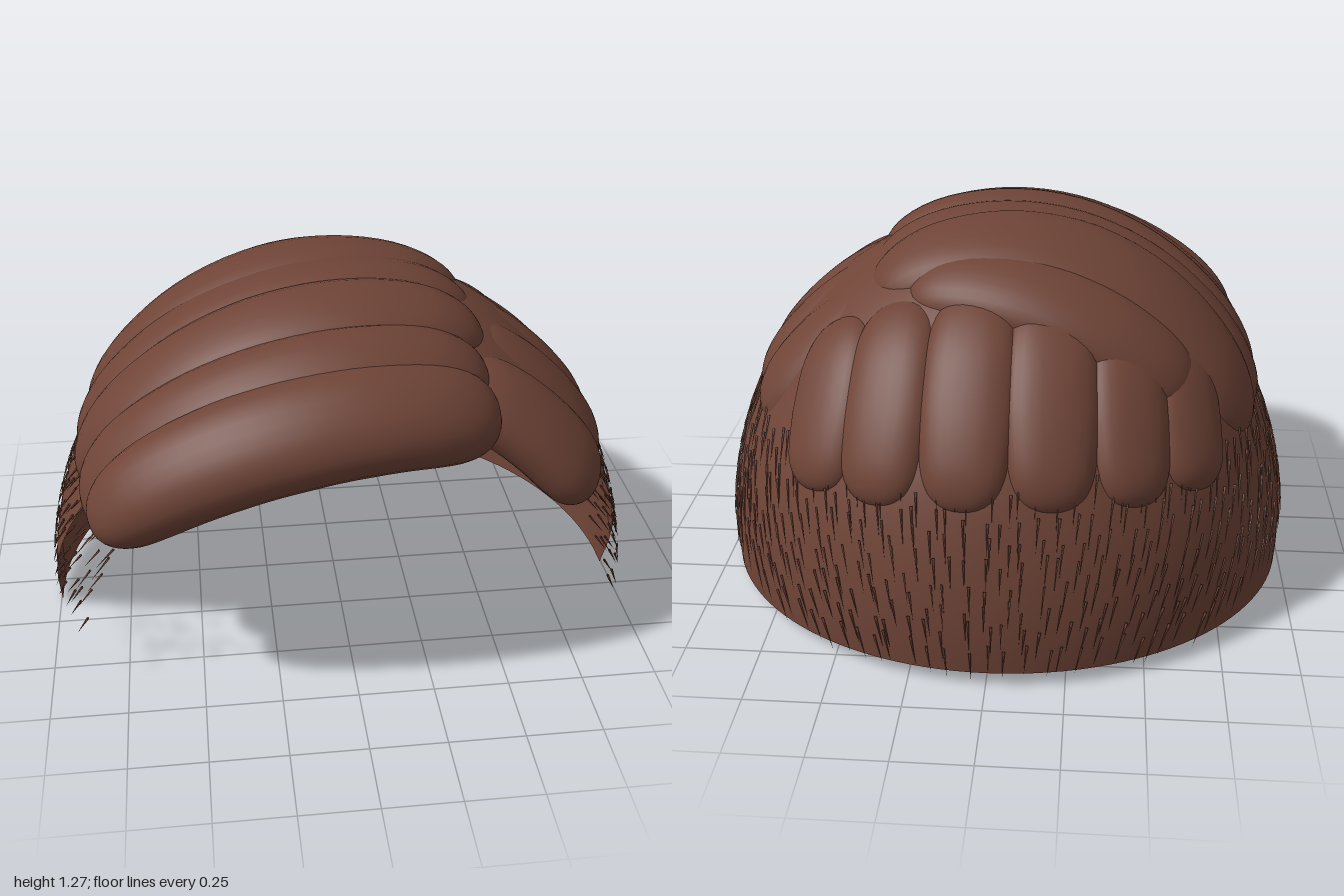
import * as THREE from 'three';
import { mergeGeometries } from 'three/addons/utils/BufferGeometryUtils.js';

// Head ellipsoid that every part follows
const CY = 0.1, CZ = 0.1, RX = 1, RY = 1.13, RZ = 0.98;
const rad = THREE.MathUtils.degToRad, lerp = THREE.MathUtils.lerp;
const normalAt = (p) =>
  new THREE.Vector3(p.x / RX ** 2, (p.y - CY) / RY ** 2, (p.z - CZ) / RZ ** 2).normalize();

// Point on the head from a sideways tilt (degrees from straight up) and a depth
function crownPoint(tilt, z, lift) {
  const k = Math.sqrt(Math.max(0.01, 1 - ((z - CZ) / RZ) ** 2));
  const p = new THREE.Vector3(k * Math.sin(rad(tilt)), CY + RY * k * Math.cos(rad(tilt)), z);
  return p.addScaledVector(normalAt(p), lift);
}

// Point on the back of the head from width and height
function backPoint(x, y, lift) {
  const k = Math.sqrt(Math.max(0.01, 1 - x * x - ((y - CY) / RY) ** 2));
  const p = new THREE.Vector3(x, y, CZ - RZ * k);
  return p.addScaledVector(normalAt(p), lift);
}

function gridGeometry(rows, cols, wrap, pointAt) {
  const pos = [], idx = [], n = wrap ? cols : cols + 1;
  for (let i = 0; i <= rows; i++)
    for (let j = 0; j < n; j++) pos.push(...pointAt(i / rows, j / cols).toArray());
  for (let i = 0; i < rows; i++)
    for (let j = 0; j < cols; j++) {
      const a = i * n + j, b = i * n + ((j + 1) % n);
      idx.push(a, b, a + n, b, b + n, a + n);
    }
  const g = new THREE.BufferGeometry();
  g.setAttribute('position', new THREE.Float32BufferAttribute(pos, 3));
  g.setIndex(idx);
  g.computeVertexNormals();
  return g;
}

// Plump lock: rounded cross-sections swept along a path over the head
function lockGeometry(points, widths, thick, blunt) {
  const curve = new THREE.CatmullRomCurve3(points);
  const pw = (v) => Math.sign(v) * Math.abs(v) ** 0.9;
  return gridGeometry(40, 28, true, (u, v) => {
    const t = 0.5 - 0.5 * Math.cos(Math.PI * u);
    const c = curve.getPoint(t), T = curve.getTangent(t);
    const N = normalAt(c).addScaledVector(T, -normalAt(c).dot(T)).normalize();
    const B = new THREE.Vector3().crossVectors(N, T);
    const s = Math.max(0.002, Math.sqrt(Math.max(0, 1 - Math.abs(2 * t - 1) ** blunt)));
    const f = t * (widths.length - 1), i = Math.min(widths.length - 2, Math.floor(f));
    const w = lerp(widths[i], widths[i + 1], f - i);
    const a = v * Math.PI * 2;
    return c.addScaledVector(B, w * s * pw(Math.cos(a))).addScaledVector(N, thick * s * pw(Math.sin(a)));
  });
}

export function createModel() {
  const model = new THREE.Group();
  model.name = 'hair';
  const brown = new THREE.MeshStandardMaterial({ color: 0x6f4437, side: THREE.DoubleSide });
  brown.name = 'brownHair';
  const add = (name, geo) => {
    const m = new THREE.Mesh(geo, brown);
    m.name = name;
    model.add(m);
  };

  // Scalp shell: a wedge of the ellipsoid, swept around a sideways axis and closed at both ends
  const oy = -CY, oz = 0.02;
  const th0 = Math.atan2(0.05, -0.99), th1 = Math.atan2(1, 0.48);
  add('scalp', gridGeometry(64, 40, false, (u, v) => {
    const x = 0.9957 * Math.sin((u - 0.5) * Math.PI);
    const th = th0 + (th1 - th0) * v, dy = Math.sin(th), dz = Math.cos(th);
    const A = (dy / RY) ** 2 + (dz / RZ) ** 2;
    const B = (oy * dy) / RY ** 2 + (oz * dz) / RZ ** 2;
    const C = (oy / RY) ** 2 + (oz / RZ) ** 2 - (1 - x * x);
    const r = u === 0 || u === 1 ? 0 : (-B + Math.sqrt(Math.max(0, B * B - A * C))) / A;
    return new THREE.Vector3(x, CY + oy + r * dy, CZ + oz + r * dz);
  }));

  // Long locks swept over the crown: depth, half width and lift at parting, middle, left tip
  const crown = [
    { name: 'fringeLock', from: 31, to: -59, z: [0.6, 0.7, 0.58], w: [0.15, 0.17, 0.14], lift: [-0.02, 0.02, 0.07], t: 0.125 },
    { name: 'crownLock', from: 29, to: -63, z: [0.47, 0.58, 0.42], w: [0.15, 0.18, 0.17], lift: [-0.05, -0.02, -0.02], t: 0.12 },
    { name: 'crownLock', from: 29, to: -64, z: [0.27, 0.36, 0.2], w: [0.16, 0.18, 0.14], lift: [-0.06, -0.05, -0.05], t: 0.115 },
    { name: 'crownLock', from: 29, to: -64, z: [0.06, 0.14, 0.01], w: [0.15, 0.16, 0.14], lift: [-0.07, -0.07, -0.05], t: 0.11 },
    { name: 'crownLock', from: 29, to: -63, z: [-0.14, -0.1, -0.22], w: [0.16, 0.23, 0.16], lift: [-0.07, -0.055, -0.05], t: 0.115 },
    { name: 'rearCrownLock', from: 20, to: -47, z: [-0.23, -0.34, -0.36], w: [0.12, 0.16, 0.14], lift: [-0.07, -0.04, -0.05], t: 0.1 },
  ];
  for (const l of crown) {
    const pts = [], ws = [];
    for (let i = 0; i <= 6; i++) {
      // Quadratic through the three stations
      const u = i / 6, q = (a) =>
        a[0] * (1 - u) * (1 - 2 * u) + a[1] * 4 * u * (1 - u) + a[2] * u * (2 * u - 1);
      pts.push(crownPoint(l.from + (l.to - l.from) * u, q(l.z), q(l.lift)));
      ws.push(q(l.w));
    }
    add(l.name, lockGeometry(pts, ws, l.t, 9));
  }

  // Short locks falling from the parting on the left side
  const sides = [
    { z: [0.5, 0.54], w: 0.16, lift: [-0.08, 0], to: 60 },
    { z: [0.27, 0.28], w: 0.145, lift: [-0.1, -0.04], to: 64 },
    { z: [0.06, 0.05], w: 0.135, lift: [-0.11, -0.05], to: 64 },
    { z: [-0.15, -0.19], w: 0.165, lift: [-0.11, -0.05], to: 63 },
  ];
  for (const s of sides) {
    const pts = [0, 1, 2, 3, 4].map((i) =>
      crownPoint(lerp(22, s.to, i / 4), lerp(...s.z, i / 4), lerp(...s.lift, i / 4)));
    add('sideLock', lockGeometry(pts, [s.w * 0.95, s.w, s.w], 0.095, 5));
  }

  // Locks hanging down the back: tip position and half width
  const backs = [[-0.66, 0.53, 0.14], [-0.46, 0.54, 0.14], [-0.2, 0.56, 0.15],
    [0.08, 0.56, 0.15], [0.36, 0.54, 0.15], [0.58, 0.52, 0.15]];
  for (const [x, y, w] of backs) {
    const top = 1.13 - 0.42 * x * x;
    const pts = [0, 1, 2, 3, 4].map((i) =>
      backPoint(x * (0.9 + 0.025 * i), lerp(top, y, i / 4), -0.035));
    add('backLock', lockGeometry(pts, [w, w * 1.03, w * 0.9], 0.08, 5));
  }

  // Fine strands around the back and sides, combed down and backward
  let seed = 7;
  const rnd = () => (seed = (seed * 16807) % 2147483647) / 2147483647;
  const strandAt = (phi, y, lift) => {
    const k = Math.sqrt(1 - ((y - CY) / RY) ** 2);
    const p = new THREE.Vector3(k * Math.sin(phi), y, CZ - RZ * k * Math.cos(phi));
    return p.addScaledVector(normalAt(p), lift);
  };
  const strands = [], up = new THREE.Vector3(0, 1, 0);
  for (let row = 0; row < 8; row++) {
    const y = 0.64 - row * 0.07;
    const limit = rad(row < 6 ? 125 - row : 72 - (row - 6) * 18);
    const count = Math.round(limit / 0.062);
    for (let i = -count; i <= count; i++) {
      const phi = (i / count) * limit + (rnd() - 0.5) * 0.04, yy = y + (rnd() - 0.5) * 0.05;
      const a = strandAt(phi, yy, 0.007);
      const b = strandAt(phi - 0.08 * Math.sin(phi), yy - 0.09 - rnd() * 0.02, 0.012);
      const d = b.clone().sub(a);
      const g = new THREE.ConeGeometry(0.0045, d.length(), 4, 1, true);
      g.applyQuaternion(new THREE.Quaternion().setFromUnitVectors(up, d.clone().normalize()));
      const m = a.add(b).multiplyScalar(0.5);
      strands.push(g.translate(m.x, m.y, m.z));
    }
  }
  add('fineStrands', mergeGeometries(strands));
  return model;
}
